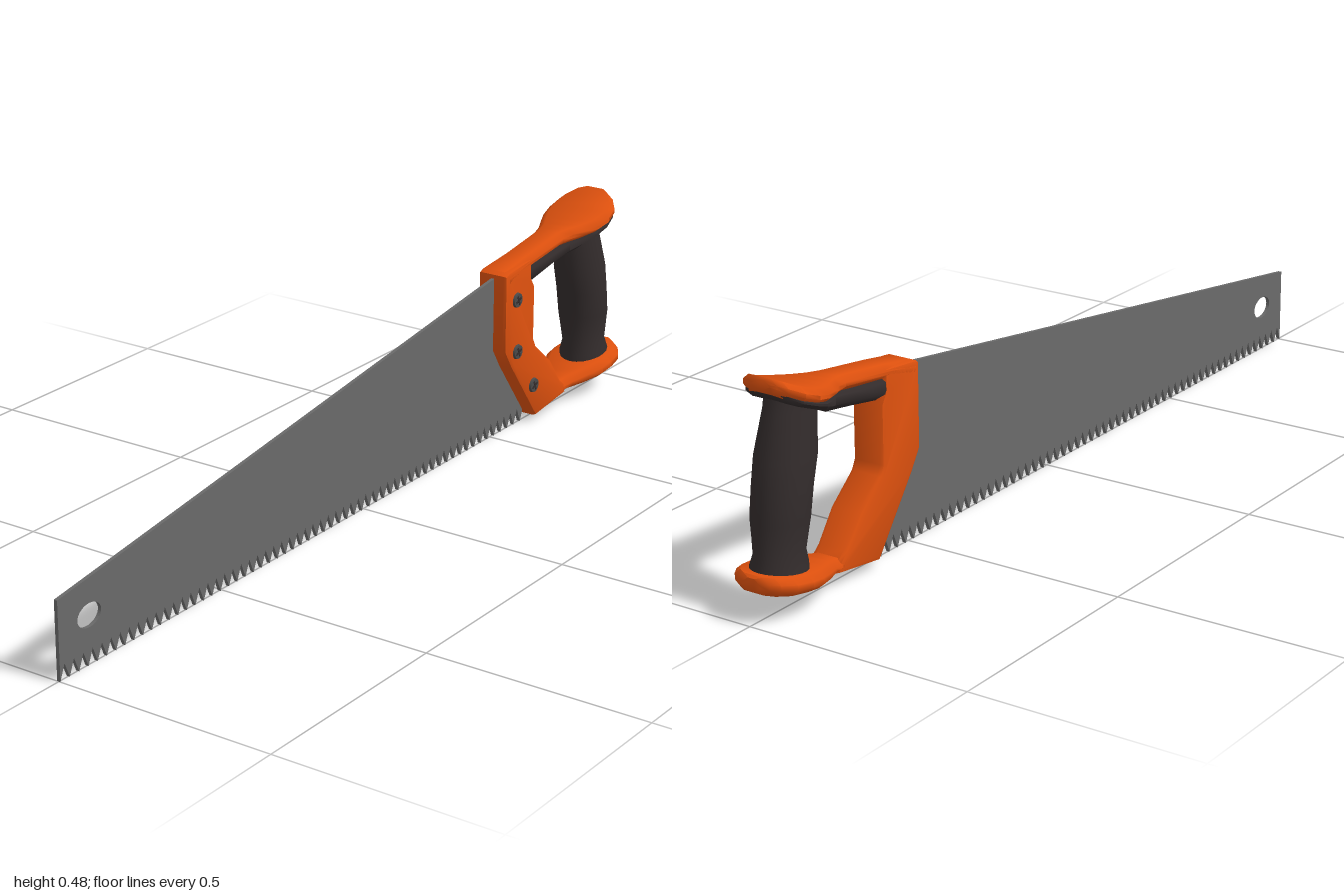
import * as THREE from 'three';
import { toCreasedNormals } from 'three/addons/utils/BufferGeometryUtils.js';

const mat = (name, color) => {
  const m = new THREE.MeshStandardMaterial({ color });
  m.name = name;
  return m;
};

// Skin a row of closed rings, capped at both ends
function loft(rings, crease = 0.9) {
  const n = rings[0].length, pos = [], index = [];
  rings.forEach(r => r.forEach(p => pos.push(...p)));
  for (let i = 0; i < rings.length - 1; i++) {
    for (let j = 0; j < n; j++) {
      const k = (j + 1) % n, a = i * n + j, b = i * n + k;
      index.push(a, b, b + n, a, b + n, a + n);
    }
  }
  const last = (rings.length - 1) * n;
  for (let j = 1; j < n - 1; j++) {
    index.push(0, j + 1, j, last, last + j, last + j + 1);
  }
  const g = new THREE.BufferGeometry();
  g.setAttribute('position', new THREE.Float32BufferAttribute(pos, 3));
  g.setIndex(index);
  return toCreasedNormals(g, crease);
}

// Chamfered bar section at x, between two heights, with a half width in z
function barRing([x, y0, y1, w], chamfer) {
  const cy = Math.min(chamfer, (y1 - y0) * 0.4), cz = chamfer * 1.2;
  return [
    [x, y1, -w + cz], [x, y1, w - cz], [x, y1 - cy, w], [x, y0 + cy, w],
    [x, y0, w - cz], [x, y0, -w + cz], [x, y0 + cy, -w], [x, y1 - cy, -w],
  ];
}
const bar = (stations, chamfer) => loft(stations.map(s => barRing(s, chamfer)));

// Oval section of the grip at height y
function gripRing([y, x0, x1, rz], sides = 20) {
  return Array.from({ length: sides }, (_, i) => {
    const a = (i / sides) * Math.PI * 2;
    return [(x0 + x1) / 2 + Math.sin(a) * (x1 - x0) / 2, y, Math.cos(a) * rz];
  });
}

export function createModel() {
  const group = new THREE.Group();
  const steel = mat('steel', 0x6a6a6a);
  const orange = mat('orange plastic', 0xdc500e);
  const rubber = mat('dark rubber', 0x332c2c);
  const screwMetal = mat('screw metal', 0x4a4a4a);
  const add = (name, geometry, material, parent = group) => {
    const m = new THREE.Mesh(geometry, material);
    m.name = name;
    parent.add(m);
    return m;
  };

  // Tapered blade with a toothed lower edge and a hanging hole
  const blade = new THREE.Shape();
  const teeth = 60, pitch = 1.65 / teeth;
  blade.moveTo(-1, 0.17);
  blade.lineTo(-1, 0);
  for (let i = 0; i < teeth; i++) {
    const x = -1 + i * pitch;
    blade.lineTo(x + pitch * 0.5, 0.034);
    blade.lineTo(x + pitch, i === teeth - 1 ? 0.034 : 0);
  }
  blade.lineTo(0.6, 0.2);
  blade.lineTo(0.54, 0.386);
  const hole = new THREE.Path();
  hole.absellipse(-0.91, 0.105, 0.035, 0.025, 0, Math.PI * 2, true);
  blade.holes.push(hole);
  const bladeGeo = new THREE.ExtrudeGeometry(blade, { depth: 0.008, bevelEnabled: false, curveSegments: 16 });
  add('blade', bladeGeo.translate(0, 0, -0.004), steel);

  // Front post of the handle
  const post = new THREE.Shape([
    [0.502, 0.39], [0.502, 0.21], [0.53, 0.165], [0.64, 0.015], [0.77, 0.032], [0.765, 0.055],
    [0.745, 0.072], [0.7, 0.135], [0.635, 0.19], [0.625, 0.21], [0.625, 0.335], [0.61, 0.36],
    [0.61, 0.405], [0.515, 0.396],
  ].map(p => new THREE.Vector2(...p)));
  const postGeo = new THREE.ExtrudeGeometry(post, {
    depth: 0.056, bevelThickness: 0.01, bevelSize: 0.01, bevelOffset: -0.01, bevelSegments: 2,
  });
  add('handlePost', toCreasedNormals(postGeo.translate(0, 0, -0.028), 0.7), orange);

  // Upper bar flaring into a rounded, upturned guard
  add('topBar', bar([
    [0.515, 0.36, 0.396, 0.038], [0.6, 0.38, 0.41, 0.038], [0.74, 0.397, 0.429, 0.039],
    [0.77, 0.4, 0.432, 0.047], [0.8, 0.404, 0.435, 0.061], [0.835, 0.41, 0.441, 0.075],
    [0.87, 0.418, 0.45, 0.08], [0.905, 0.43, 0.463, 0.074], [0.93, 0.442, 0.476, 0.054],
    [0.941, 0.45, 0.481, 0.036], [0.946, 0.458, 0.477, 0.022],
  ], 0.012), orange);

  // Lower bar flaring into a matching guard
  add('bottomBar', bar([
    [0.66, 0.02, 0.05, 0.037], [0.76, 0.031, 0.06, 0.038], [0.79, 0.035, 0.066, 0.045],
    [0.83, 0.04, 0.075, 0.063], [0.87, 0.046, 0.083, 0.077], [0.905, 0.052, 0.088, 0.08],
    [0.945, 0.057, 0.094, 0.074], [0.972, 0.061, 0.098, 0.056], [0.985, 0.064, 0.1, 0.038],
    [0.992, 0.07, 0.096, 0.022],
  ], 0.012), orange);

  // Rubber lining under the upper bar
  add('topLining', bar([
    [0.6, 0.337, 0.39, 0.034], [0.7, 0.354, 0.4, 0.034], [0.77, 0.366, 0.41, 0.038],
    [0.8, 0.376, 0.415, 0.053], [0.835, 0.394, 0.42, 0.07], [0.87, 0.408, 0.43, 0.076],
    [0.905, 0.422, 0.442, 0.07], [0.928, 0.436, 0.455, 0.05], [0.938, 0.446, 0.462, 0.03],
  ], 0.014), rubber);

  // Rubber grip, leaning back and swelling in the middle
  add('grip', loft([
    [0.07, 0.845, 0.972, 0.055], [0.095, 0.846, 0.97, 0.054], [0.12, 0.848, 0.963, 0.046],
    [0.19, 0.84, 0.96, 0.057], [0.25, 0.828, 0.954, 0.057], [0.31, 0.811, 0.946, 0.057],
    [0.4, 0.802, 0.922, 0.046], [0.43, 0.8, 0.915, 0.046],
  ].map(s => gripRing(s))), rubber);

  // Blade screws with crossed slots on the front face
  for (const [x, y] of [[0.545, 0.325], [0.55, 0.2], [0.622, 0.097]]) {
    const screw = new THREE.Group();
    screw.name = 'screw';
    screw.position.set(x, y, 0.038);
    group.add(screw);
    add('screwHead', new THREE.CylinderGeometry(0.016, 0.019, 0.01, 16).rotateX(Math.PI / 2), screwMetal, screw);
    for (const turn of [0, Math.PI / 2]) {
      const slot = add('screwSlot', new THREE.BoxGeometry(0.022, 0.005, 0.002), rubber, screw);
      slot.position.z = 0.005;
      slot.rotation.z = turn + 0.4;
    }
  }
  return group;
}
